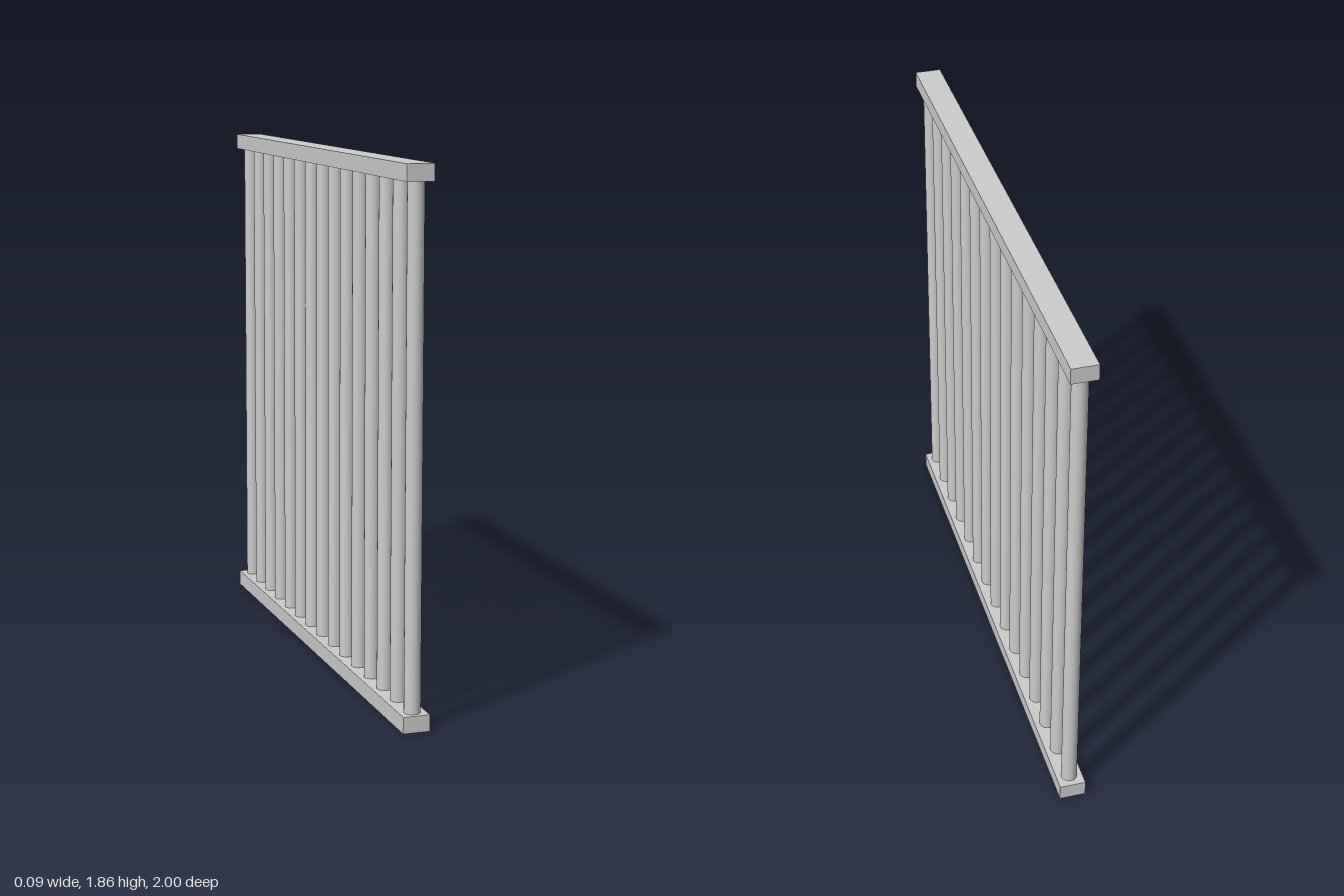
import * as THREE from 'three';

const LENGTH = 2, HEIGHT = 1.86;
const RAIL_WIDTH = 0.093, RAIL_HEIGHT = 0.057;
const BAR_COUNT = 15, BAR_RADIUS = 0.028, FIRST_BAR_Z = 0.957, BAR_SPACING = 0.1363;

export function createModel() {
  const group = new THREE.Group();
  group.name = 'railing';
  const material = new THREE.MeshStandardMaterial({ color: 0xcccccc });

  const add = (name, geometry, y, z) => {
    const mesh = new THREE.Mesh(geometry, material);
    mesh.name = name;
    mesh.position.set(0, y, z);
    group.add(mesh);
  };

  // Horizontal rails at the foot and the top
  const railGeometry = new THREE.BoxGeometry(RAIL_WIDTH, RAIL_HEIGHT, LENGTH);
  add('bottomRail', railGeometry, RAIL_HEIGHT / 2, 0);
  add('topRail', railGeometry, HEIGHT - RAIL_HEIGHT / 2, 0);

  // Evenly spaced round bars between the rails
  const barGeometry = new THREE.CylinderGeometry(BAR_RADIUS, BAR_RADIUS, HEIGHT - 2 * RAIL_HEIGHT, 32);
  for (let i = 0; i < BAR_COUNT; i++) {
    add(`bar${i + 1}`, barGeometry, HEIGHT / 2, FIRST_BAR_Z - i * BAR_SPACING);
  }

  return group;
}
